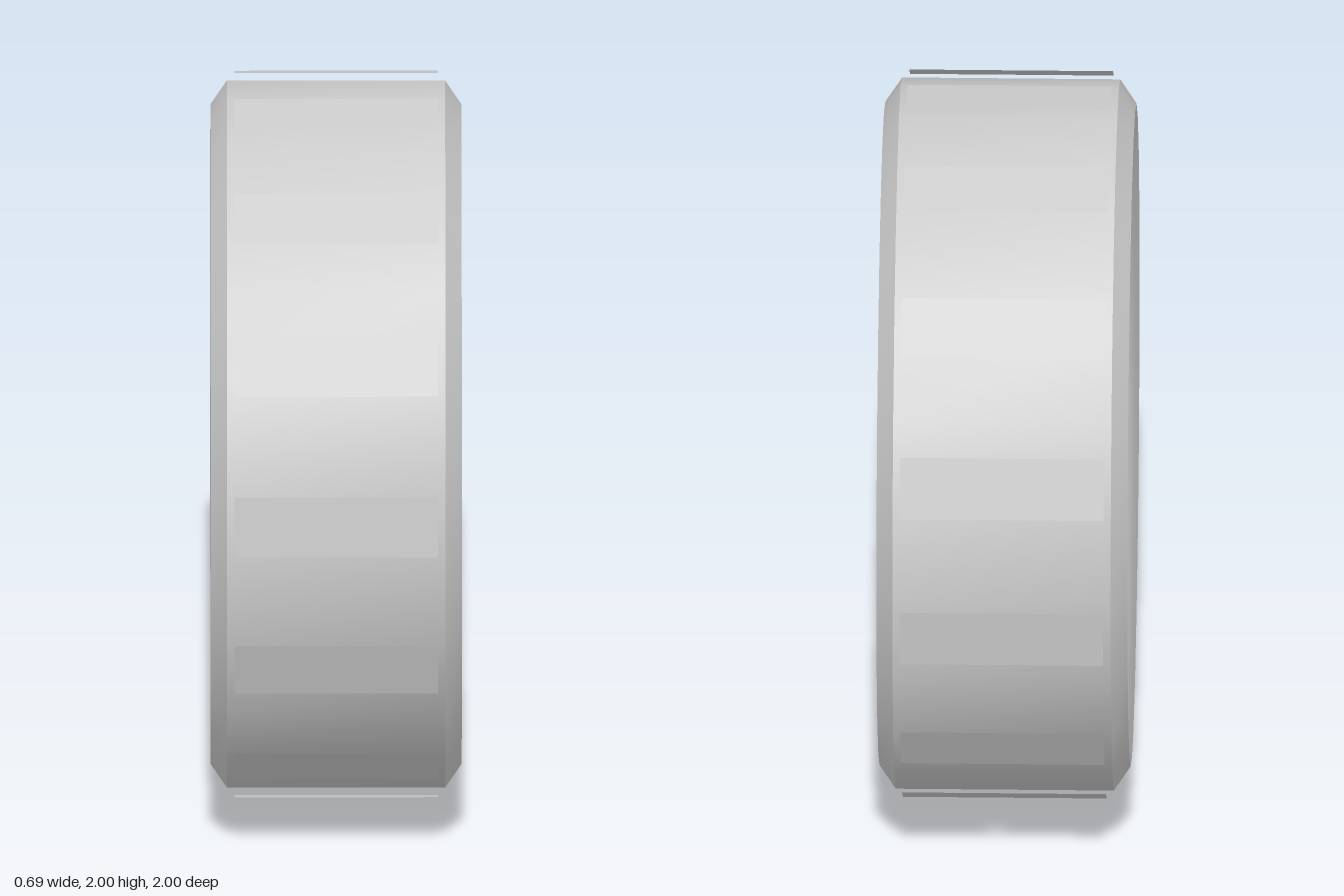
import * as THREE from 'three';
import { toCreasedNormals } from 'three/addons/utils/BufferGeometryUtils.js';

const grey = new THREE.MeshStandardMaterial({ color: 0xcccccc });
const thin = new THREE.MeshStandardMaterial({ color: 0xcccccc, side: THREE.DoubleSide });

// Revolve [radius, x] points around the x axis
function turned(name, points, sides) {
  const lathe = new THREE.LatheGeometry(points.map(([r, x]) => new THREE.Vector2(r, x)), sides);
  const mesh = new THREE.Mesh(toCreasedNormals(lathe.rotateZ(-Math.PI / 2), 0.5), grey);
  mesh.name = name;
  return mesh;
}

// Short cylinder along x, starting at x0
function disc(name, radius, x0, x1, sides) {
  const geo = new THREE.CylinderGeometry(radius, radius, x1 - x0, sides).rotateZ(-Math.PI / 2);
  const mesh = new THREE.Mesh(geo, grey);
  mesh.position.x = (x0 + x1) / 2;
  mesh.name = name;
  return mesh;
}

// Copies of a part around the axle; the part is built pointing along +z
function ring(name, count, start, makePart) {
  const group = new THREE.Group();
  group.name = name;
  for (let i = 0; i < count; i++) {
    const arm = new THREE.Group();
    arm.add(makePart());
    arm.rotation.x = -(start + (i / count) * Math.PI * 2);
    group.add(arm);
  }
  return group;
}

export function createModel() {
  const wheel = new THREE.Group();
  wheel.name = 'wheel';
  wheel.position.y = 1;

  // Tyre: mirrored half section, closed through the inner bore
  const half = [[0.978, 0.3], [0.912, 0.345], [0.84, 0.335], [0.765, 0.315], [0.69, 0.25]];
  const mirrored = half.map(([r, x]) => [r, -x]).reverse();
  wheel.add(turned('tyre', [...mirrored, ...half, mirrored[0]], 24));

  // Rim: solid drum with a shallow recess on the outer face
  wheel.add(turned('rim', [
    [0, -0.25], [0.665, -0.25], [0.665, 0.255], [0.6, 0.255], [0.6, 0.245], [0, 0.245],
  ], 24));

  // Thin tread plates floating just above the crown
  wheel.add(ring('treadPlates', 14, Math.PI / 28, () => {
    const plate = new THREE.Mesh(new THREE.PlaneGeometry(0.56, 0.171), thin);
    plate.position.z = 0.996;
    plate.name = 'treadPlate';
    return plate;
  }));

  // Spokes: square bars set on edge
  wheel.add(ring('spokes', 5, 0, () => {
    const bar = new THREE.Mesh(new THREE.BoxGeometry(0.064, 0.064, 0.45), grey);
    bar.rotation.z = Math.PI / 4;
    bar.position.set(0.255, 0, 0.375);
    bar.name = 'spoke';
    return bar;
  }));

  // Hub and its bolts
  wheel.add(disc('hub', 0.16, 0.24, 0.297, 20));
  wheel.add(ring('bolts', 5, Math.PI / 10, () => {
    const bolt = disc('bolt', 0.019, 0.29, 0.325, 6);
    bolt.position.z = 0.105;
    return bolt;
  }));

  const model = new THREE.Group();
  model.add(wheel);
  return model;
}
